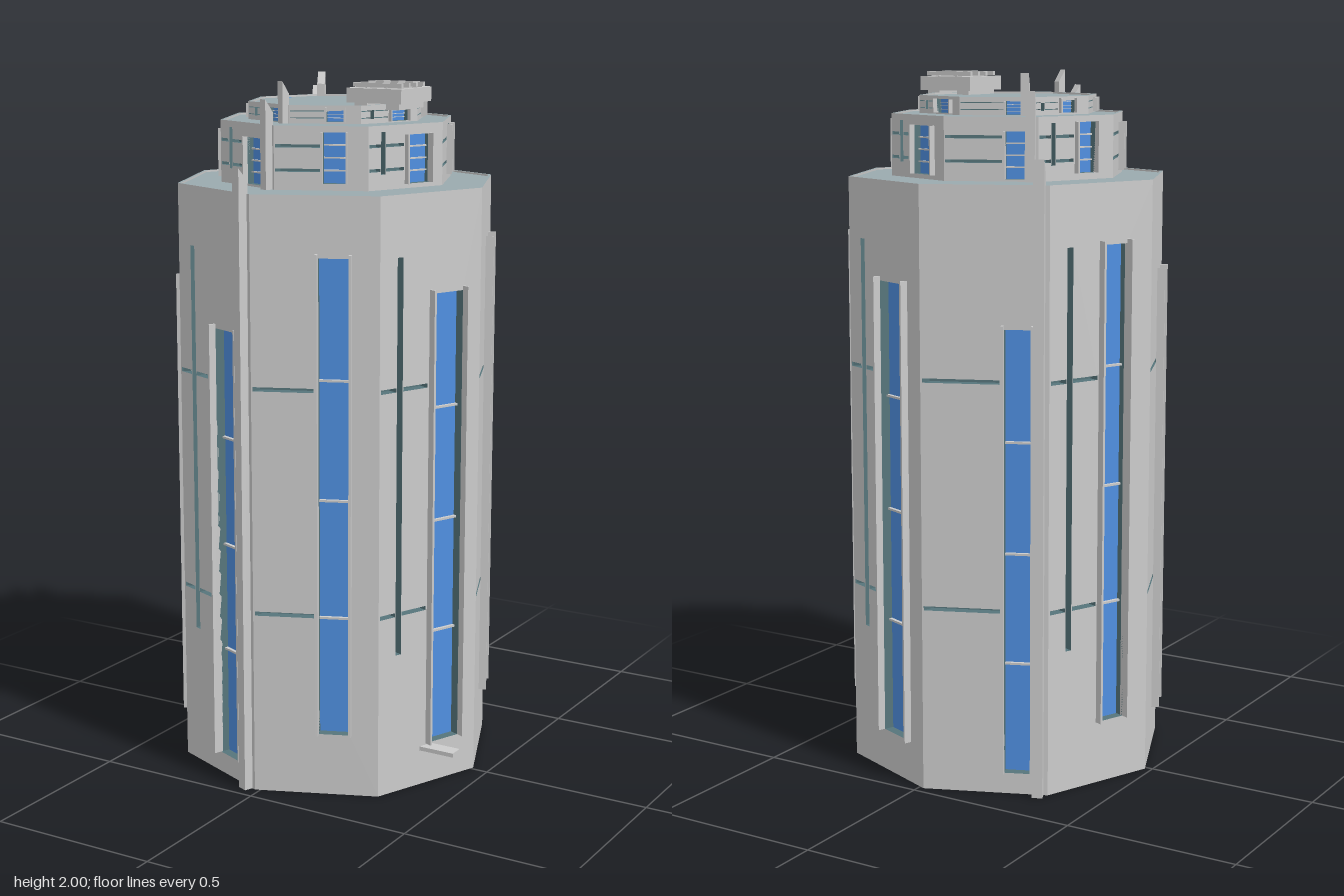
import * as THREE from 'three';

const mat = (color) => new THREE.MeshStandardMaterial({ color, flatShading: true });
const wall = mat(0xcccccc), roofMat = mat(0x9aaaae), reveal = mat(0x56757b), glass = mat(0x4f8fe0);

const BASE_R = 0.465, BASE_H = 1.71;
const A = Math.cos(Math.PI / 8), HALF = Math.sin(Math.PI / 8);

// One entry per facade, going round from the front: window span [u0, u1, y0, y1], narrow slit, corner post
const FACADES = [
  { win: [0.005, 0.122, 0.06, 1.32], slit: true, post: true },
  { win: [0.008, 0.095, 0.18, 1.54] },
  { win: [0.002, 0.114, 0.12, 1.43], slit: true },
  { win: [0.005, 0.092, 0.18, 1.54] },
  { win: [-0.02, 0.11, 0.12, 1.43], slit: true },
  { win: [0.054, 0.13, 0.06, 1.32], post: true },
  { win: [0.0, 0.09, 0.18, 1.54], slit: true },
  { win: [0.03, 0.119, 0.12, 1.43] },
];
const SLIT = [-0.118, -0.098, 0.41, 1.54];
const GROOVES = [0.53, 1.175];

function add(parent, name, geometry, material, x = 0, y = 0, z = 0) {
  const mesh = new THREE.Mesh(geometry, material);
  mesh.name = name;
  mesh.position.set(x, y, z);
  parent.add(mesh);
  return mesh;
}

// Box given by its minimum and maximum on each axis
function block(parent, name, material, x0, x1, y0, y1, z0, z1) {
  return add(parent, name, new THREE.BoxGeometry(x1 - x0, y1 - y0, z1 - z0), material,
    (x0 + x1) / 2, (y0 + y1) / 2, (z0 + z1) / 2);
}

function rect(Type, [u0, u1, y0, y1]) {
  const p = new Type();
  p.moveTo(u0, y0);
  p.lineTo(u1, y0);
  p.lineTo(u1, y1);
  p.lineTo(u0, y1);
  p.closePath();
  return p;
}

function octagon(Type, r) {
  const p = new Type();
  for (let i = 0; i < 8; i++) {
    const a = (i * Math.PI) / 4;
    if (i) p.lineTo(r * Math.cos(a), r * Math.sin(a));
    else p.moveTo(r, 0);
  }
  p.closePath();
  return p;
}

// Post whose top slopes down towards the building
function cornerPost(parent, u, w, height, z0, z1, drop) {
  const g = new THREE.BoxGeometry(w, height, z1 - z0);
  const p = g.attributes.position;
  for (let i = 0; i < p.count; i++) {
    if (p.getY(i) > 0 && p.getZ(i) < 0) p.setY(i, p.getY(i) - drop);
  }
  g.computeVertexNormals();
  add(parent, 'cornerPost', g, wall, u, height / 2, (z0 + z1) / 2);
}

// Facade panel with real openings, glazing, side fins and grooves
function facade(spec, r, h, lip, postTop) {
  const g = new THREE.Group();
  g.name = 'facade';
  const s = r / BASE_R, v = h / BASE_H;
  const a = r * A, half = r * HALF, depth = 0.03 * s, back = a - depth;
  const scale = ([u0, u1, y0, y1]) => [u0 * s, u1 * s, y0 * v, y1 * v];
  const win = scale(spec.win), slit = scale(SLIT);
  const gh = Math.min(0.006, 0.025 * h);

  const shape = rect(THREE.Shape, [-half, half, 0, h - lip]);
  const holes = [win];
  const gap = 0.012 * s;
  for (const y of GROOVES) {
    const y0 = y * v - gh, y1 = y * v + gh;
    const from = -half + 0.005 * s, to = win[0] - gap;
    if (spec.slit) {
      holes.push([from, slit[0] - 0.002 * s, y0, y1], [slit[1] + 0.002 * s, to, y0, y1]);
    } else holes.push([from, to, y0, y1]);
  }
  if (spec.slit) holes.push(slit);
  shape.holes = holes.map((o) => rect(THREE.Path, o));
  add(g, 'wallPanel', new THREE.ExtrudeGeometry(shape, { depth, bevelEnabled: false }), [wall, reveal], 0, 0, back);

  // Glazing and transoms
  const [u0, u1, y0, y1] = win;
  block(g, 'windowGlass', glass, u0, u1, y0, y1, back - 0.002, back + 0.002);
  if (spec.slit) block(g, 'slitGlass', glass, ...slit, back - 0.002, back + 0.002);
  const bar = Math.min(0.003, 0.012 * h);
  for (let i = 1; i < 4; i++) {
    const y = y0 + ((y1 - y0) * i) / 4;
    block(g, 'transom', wall, u0, u1, y - bar, y + bar, back, back + 0.012 * s);
  }
  // Side fins
  const fin = 0.007 * s;
  for (const u of [u0 - fin, u1]) {
    block(g, 'windowFin', wall, u, u + fin, y0, y1 + 0.012 * v, a - 0.01 * s, a + 0.022 * s);
  }
  if (spec.post) {
    const w = 0.03 * Math.sqrt(s);
    cornerPost(g, 0.151 * s, w, postTop, a - 0.003, a + 0.026 * Math.sqrt(s), 0.035);
  }
  return g;
}

// One octagonal storey block with its roof and rim
function tier(name, y, r, h, postTop) {
  const g = new THREE.Group();
  g.name = name;
  g.position.y = y;
  const s = r / BASE_R, lip = 0.008;
  const coreR = r - (0.03 * s) / A;
  add(g, 'core', new THREE.CylinderGeometry(coreR, coreR, h - lip, 8), reveal, 0, (h - lip) / 2, 0);
  add(g, 'roof', new THREE.CylinderGeometry(r - 0.003, r - 0.003, 0.003, 8), roofMat, 0, h - lip + 0.0015, 0);
  const ring = octagon(THREE.Shape, r);
  ring.holes = [octagon(THREE.Path, r - 0.009)];
  const rim = add(g, 'roofRim', new THREE.ExtrudeGeometry(ring, { depth: lip, bevelEnabled: false }),
    [roofMat, wall], 0, h - lip, 0);
  rim.rotation.x = -Math.PI / 2;
  FACADES.forEach((spec, i) => {
    const f = facade(spec, r, h, lip, postTop);
    f.rotation.y = ((i - 0.5) * Math.PI) / 4;
    g.add(f);
  });
  return g;
}

// Rooftop ventilation unit: open tray with louvre slats
function ventUnit() {
  const g = new THREE.Group();
  g.name = 'ventilationUnit';
  g.position.set(0.204, 0, 0.08);
  const hw = 0.086, t = 0.012, y0 = 1.942, y1 = 1.982;
  block(g, 'trayFloor', wall, -hw, hw, y0, y0 + 0.012, -hw, hw);
  block(g, 'trayBed', reveal, -hw + t, hw - t, y0 + 0.012, y0 + 0.02, -hw + t, hw - t);
  for (const k of [-1, 1]) {
    const c = k * (hw - t / 2);
    block(g, 'traySide', wall, c - t / 2, c + t / 2, y0, y1, -hw, hw);
    block(g, 'trayEnd', wall, -hw, hw, y0, y1, c - t / 2, c + t / 2);
    block(g, 'runner', wall, k * 0.05 - 0.02, k * 0.05 + 0.02, 1.925, y0, -0.07, 0.07);
    block(g, 'slatRail', wall, k * 0.03 - 0.003, k * 0.03 + 0.003, y0 + 0.02, 1.985, -hw + t, hw - t);
  }
  for (let i = 0; i < 4; i++) {
    const z = -0.062 + i * 0.0413;
    block(g, 'louvreSlat', wall, -0.076, 0.076, 1.984, 1.996, z - 0.005, z + 0.005);
  }
  return g;
}

export function createModel() {
  const model = new THREE.Group();
  model.name = 'tower';
  const body = new THREE.Group();
  body.name = 'towerBody';
  body.position.set(-0.015, 0, -0.01);
  body.add(
    tier('mainTier', 0, BASE_R, BASE_H, 1.78),
    tier('middleTier', 1.71, 0.34, 0.175, 0.245),
    tier('topTier', 1.885, 0.26, 0.05, 0.115),
  );
  model.add(body, ventUnit());
  // Entrance canopy
  block(model, 'entranceCanopy', wall, 0.37, 0.48, 0.104, 0.116, 0.138, 0.18);
  return model;
}
